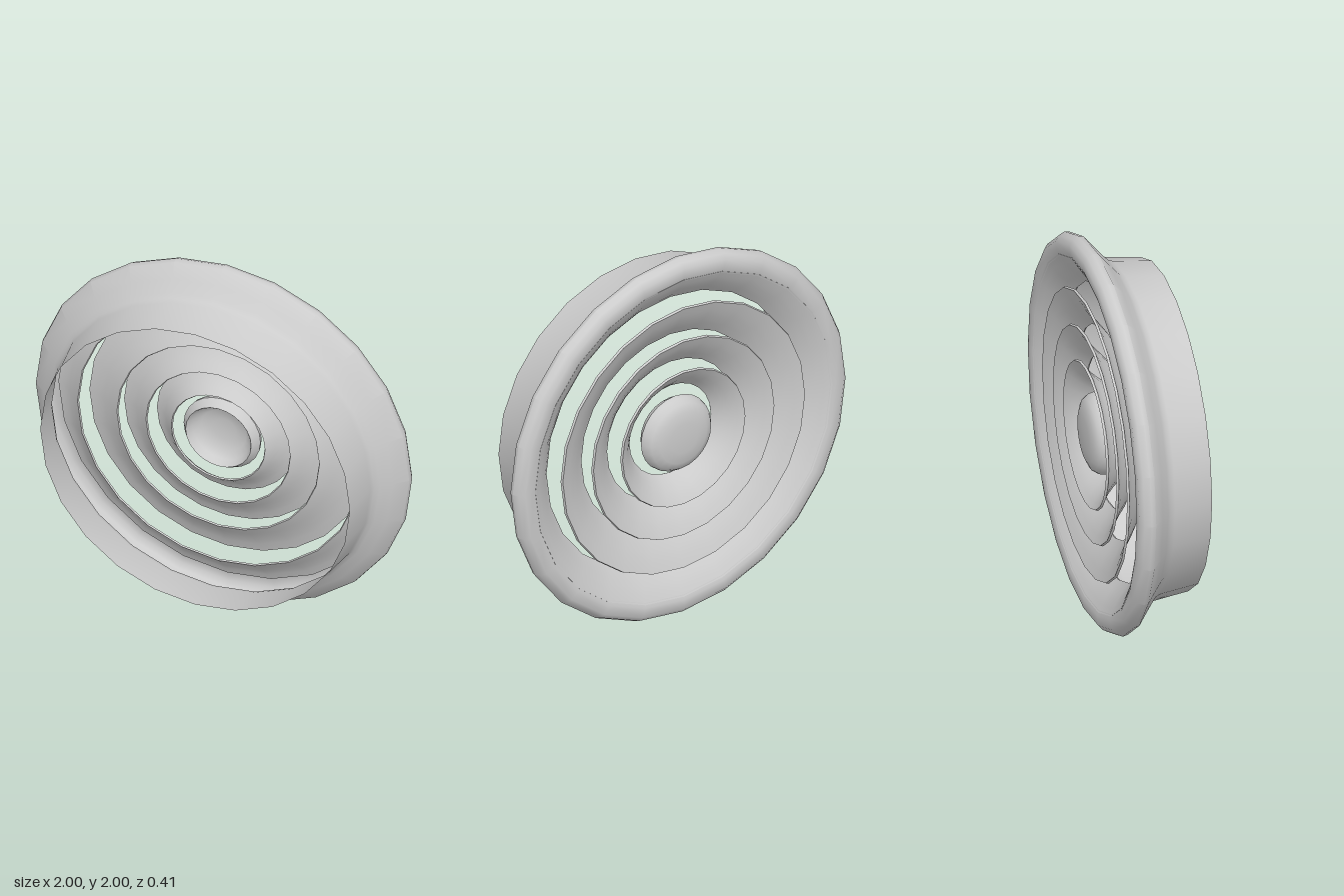
import * as THREE from 'three';
import { toCreasedNormals } from 'three/addons/utils/BufferGeometryUtils.js';

const SIDES = 24;
const material = new THREE.MeshStandardMaterial({ color: 0xcccccc, side: THREE.DoubleSide });

// Turns a profile of [radius, z] points around the z axis.
function turned(name, profile) {
  const points = profile.map(([r, z]) => new THREE.Vector2(r, z));
  const geometry = new THREE.LatheGeometry(points, SIDES).rotateX(Math.PI / 2);
  const mesh = new THREE.Mesh(toCreasedNormals(geometry, 0.7), material);
  mesh.name = name;
  return mesh;
}

// Thin, slightly curved cone: wide at the back, narrow at the front, closed all round.
function louvre(name, backRadius, frontRadius) {
  const back = -0.2, front = -0.085, thick = 0.012;
  const outer = [], inner = [];
  for (let i = 0; i <= 4; i++) {
    const t = i / 4;
    const r = THREE.MathUtils.lerp(backRadius, frontRadius, t);
    const z = THREE.MathUtils.lerp(back, front, t) - 0.012 * Math.sin(Math.PI * t);
    outer.push([r, z + (i === 0 ? thick : thick * 0.7)]);
    inner.unshift([r - thick * 0.4, z]);
  }
  return turned(name, [...outer, ...inner, outer[0]]);
}

export function createModel() {
  const model = new THREE.Group();
  model.name = 'roundAirDiffuser';

  // Outer frame: rolled rim, flare and duct collar
  const frame = new THREE.Group();
  frame.name = 'outerFrame';
  frame.add(
    turned('rimAndCollar', [
      [0.885, -0.195], [0.91, -0.205], [0.96, -0.205], [0.985, -0.185], [1, -0.155], [0.995, -0.13],
      [0.93, -0.077], [0.88, -0.035], [0.86, -0.015], [0.85, 0.01], [0.825, 0.205],
    ]),
    // Inward-sloping lip behind the collar
    louvre('innerLip', 0.9, 0.75),
  );
  model.add(frame);

  // Nested cones
  [[0.735, 0.54], [0.55, 0.385], [0.375, 0.25]].forEach(([back, front], i) =>
    model.add(louvre(`coneRing${i + 1}`, back, front)));

  // Central button, domed at the back and hollow at the front
  model.add(turned('centreButton', [
    [0, -0.205], [0.08, -0.203], [0.14, -0.196], [0.18, -0.178], [0.2, -0.15], [0.205, -0.125],
    [0.175, -0.08], [0.17, -0.085], [0.155, -0.12], [0.12, -0.145], [0.06, -0.155], [0, -0.157],
  ]));

  model.position.y = 1;
  const root = new THREE.Group();
  root.name = 'diffuser';
  root.add(model);
  return root;
}
